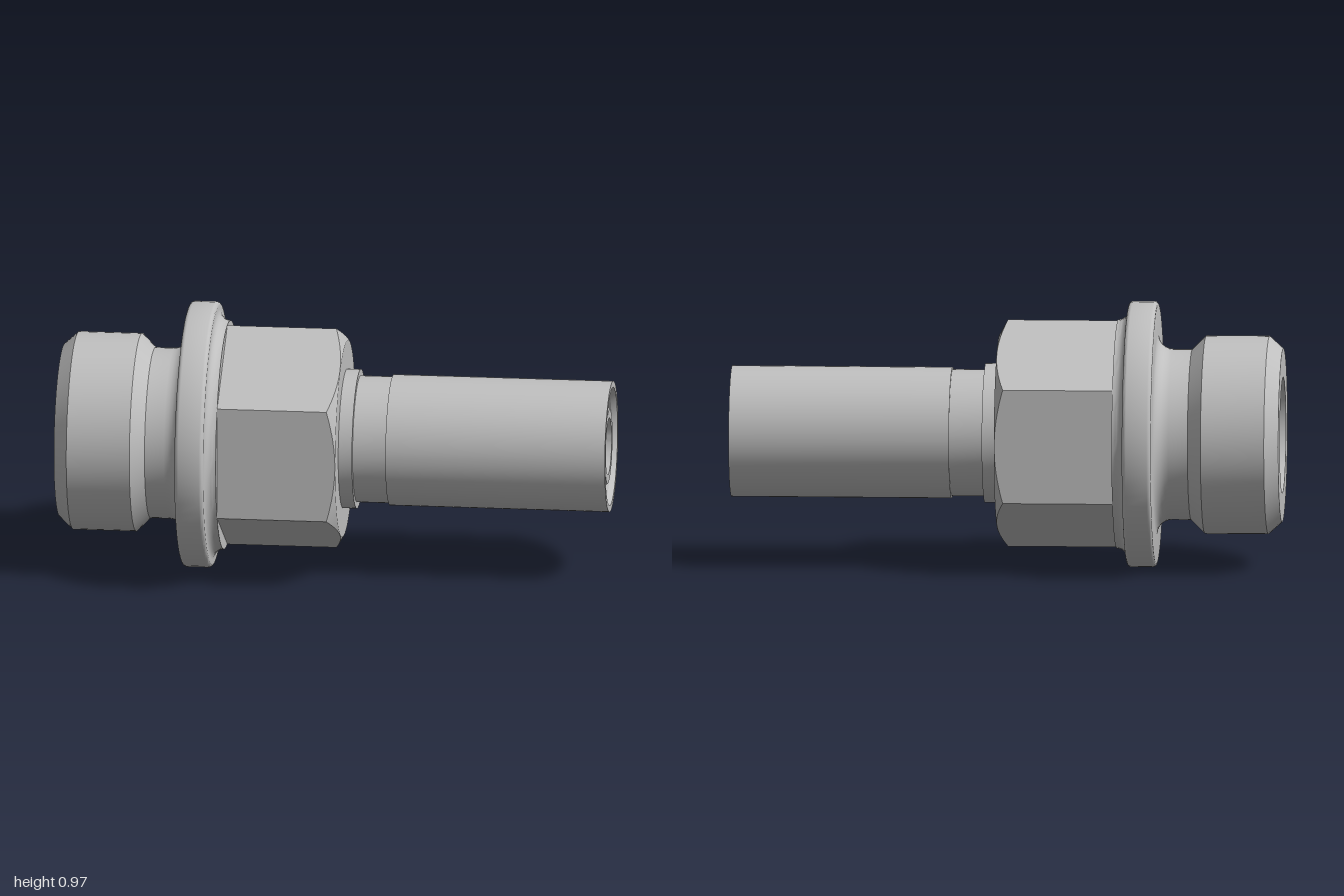
import * as THREE from 'three';
import { toCreasedNormals } from 'three/addons/utils/BufferGeometryUtils.js';

const SEGMENTS = 72;
const AXIS_Y = 0.483;
const CREASE = 0.42;

// Quarter-circle points around (cx, cr), as [x, radius] pairs
function arc(cx, cr, radius, from, to, steps = 6) {
  return Array.from({ length: steps + 1 }, (_, i) => {
    const a = THREE.MathUtils.degToRad(from + ((to - from) * i) / steps);
    return [cx + radius * Math.cos(a), cr + radius * Math.sin(a)];
  });
}

// Solid of revolution about x; outer profile runs toward +x, inner runs back
function turned(profile) {
  const points = profile.map(([x, r]) => new THREE.Vector2(r, x));
  const geometry = new THREE.LatheGeometry(points, SEGMENTS);
  geometry.rotateZ(-Math.PI / 2);
  return toCreasedNormals(geometry, CREASE);
}

// Hexagonal prism along x, its corners cut by a cone at the +x end
function hexNut(back, front, corner, bore) {
  const apothem = corner * Math.cos(Math.PI / 6);
  const inner = apothem - 0.002;
  const steps = 96;
  const positions = [];
  const section = (i) => {
    const a = (i / steps) * Math.PI * 2;
    const sector = Math.PI / 3;
    const r = apothem / Math.cos((a % sector) - sector / 2);
    const at = (x, radius) => [x, radius * Math.cos(a), radius * Math.sin(a)];
    return [
      at(back, bore), at(back, r), at(front - (r - inner) * 0.56, r),
      at(front, inner), at(front, bore),
    ];
  };
  for (let i = 0; i < steps; i++) {
    const p = section(i);
    const q = section((i + 1) % steps);
    for (let k = 0; k < p.length - 1; k++) {
      positions.push(...p[k], ...q[k + 1], ...p[k + 1], ...p[k], ...q[k], ...q[k + 1]);
    }
  }
  const geometry = new THREE.BufferGeometry();
  geometry.setAttribute('position', new THREE.Float32BufferAttribute(positions, 3));
  return toCreasedNormals(geometry, CREASE);
}

export function createModel() {
  const group = new THREE.Group();
  group.name = 'tubeFitting';
  const steel = new THREE.MeshStandardMaterial({ color: 0xbfbfbf });
  steel.name = 'steel';

  const add = (name, geometry) => {
    const mesh = new THREE.Mesh(geometry, steel);
    mesh.name = name;
    mesh.position.y = AXIS_Y;
    group.add(mesh);
  };

  // Port end: chamfered stud, undercut neck, filleted flange and tapered socket
  add('studAndFlange', turned([
    [-1, 0.21], [-1, 0.315], [-0.95, 0.36], [-0.72, 0.36], [-0.67, 0.31],
    ...arc(-0.6, 0.365, 0.055, -90, 0),
    ...arc(-0.53, 0.468, 0.015, 180, 90, 4),
    ...arc(-0.455, 0.468, 0.015, 90, 0, 4),
    ...arc(-0.4, 0.455, 0.04, 180, 270),
    [-0.4, 0.103], [-0.6, 0.103], [-0.62, 0.14], [-1, 0.21],
  ]));

  // Wrench hexagon
  add('hexagon', hexNut(-0.4, 0.03, 0.415, 0.103));

  // Collar, neck and sleeve with an open annular end
  add('collarAndSleeve', turned([
    [0.03, 0.103], [0.03, 0.253], [0.08, 0.253], [0.08, 0.23], [0.2, 0.23],
    [0.2, 0.238], [1, 0.238], [1, 0.215], [0.98, 0.203],
    [0.5, 0.203], [0.5, 0.14],
  ]));

  // Inner tube with a chamfered tip
  add('innerTube', turned([
    [0.5, 0.147], [0.975, 0.147], [0.99, 0.135], [0.99, 0.103], [-0.4, 0.103],
  ]));

  return group;
}
